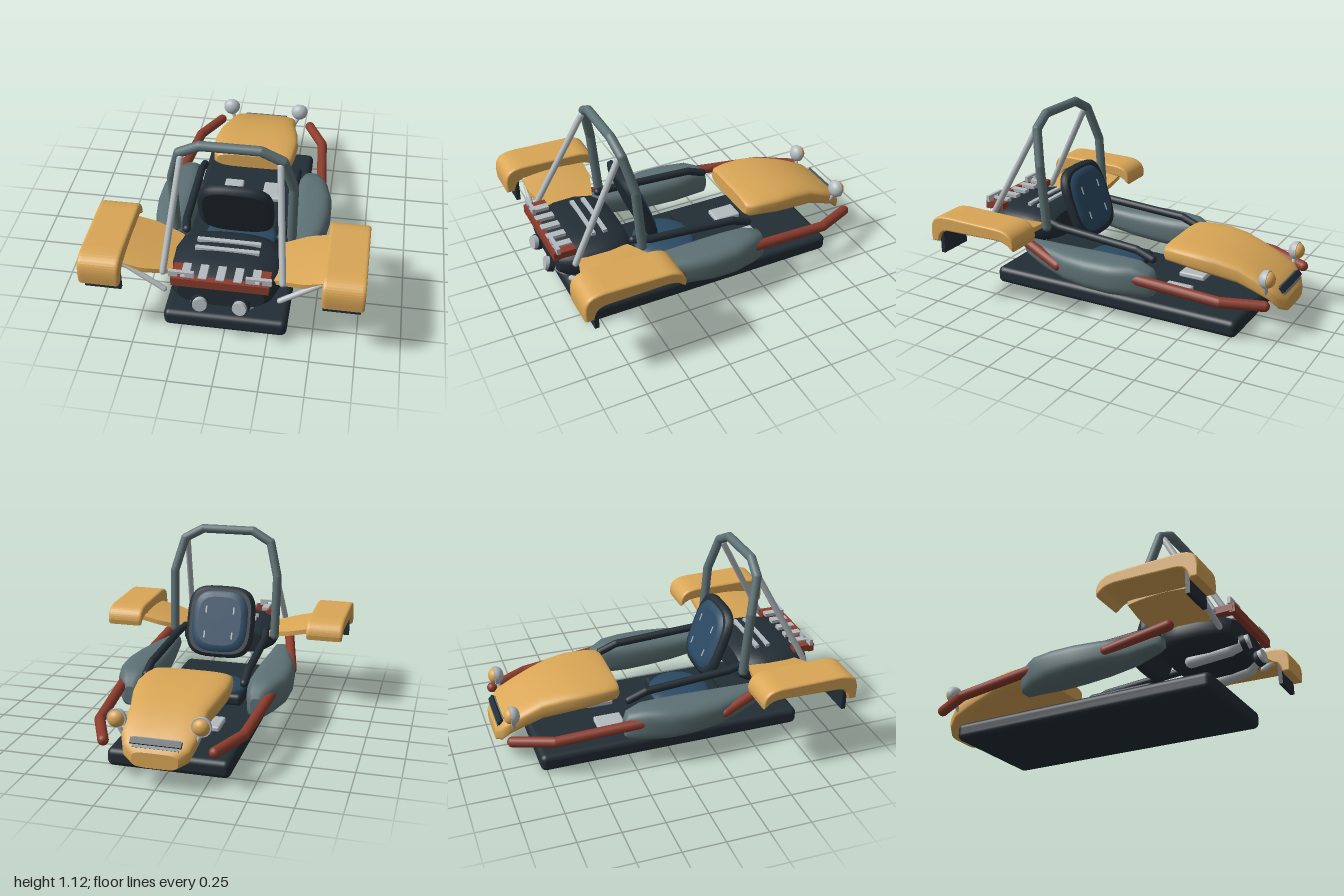
import * as THREE from 'three';
import { RoundedBoxGeometry } from 'three/addons/geometries/RoundedBoxGeometry.js';

const material = (name, color) => {
  const m = new THREE.MeshStandardMaterial({ color });
  m.name = name;
  return m;
};

// Closed skin over superellipse sections [z, xCentre, yCentre, halfWidth, halfHeight], z rising
function loft(sections, power = 4, n = 40) {
  const pos = [], idx = [];
  const ring = ([z, xc, yc, w, h]) => {
    for (let j = 0; j < n; j++) {
      const a = (j / n) * Math.PI * 2, c = Math.cos(a), s = Math.sin(a);
      pos.push(xc + w * Math.sign(c) * Math.abs(c) ** (2 / power),
        yc + h * Math.sign(s) * Math.abs(s) ** (2 / power), z);
    }
  };
  sections.forEach(ring);
  for (let i = 0; i < sections.length - 1; i++) {
    for (let j = 0; j < n; j++) {
      const k = (j + 1) % n, a = i * n + j, b = i * n + k;
      idx.push(a, b, b + n, a, b + n, a + n);
    }
  }
  // end caps with their own vertices, so the rims stay sharp
  [sections[0], sections.at(-1)].forEach((sec, end) => {
    const start = pos.length / 3;
    ring(sec);
    pos.push(sec[1], sec[2], sec[0]);
    for (let j = 0; j < n; j++) {
      const k = (j + 1) % n;
      idx.push(start + n, start + (end ? j : k), start + (end ? k : j));
    }
  });
  const g = new THREE.BufferGeometry();
  g.setAttribute('position', new THREE.Float32BufferAttribute(pos, 3));
  g.setIndex(idx);
  g.computeVertexNormals();
  return g;
}

export function createModel() {
  const model = new THREE.Group();
  model.name = 'buggyBody';
  const gold = material('gold', 0xd9a656), red = material('red', 0x8c3c2d);
  const grey = material('grey', 0x5d7174), silver = material('silver', 0xb4bcc0);
  const dark = material('dark', 0x222d35), blue = material('blue', 0x2b4a63);

  const add = (name, geo, mat, x = 0, y = 0, z = 0, parent = model) => {
    const m = new THREE.Mesh(geo, mat);
    m.name = name;
    m.position.set(x, y, z);
    parent.add(m);
    return m;
  };
  const box = (name, mat, w, h, d, x, y, z, parent) =>
    add(name, new THREE.BoxGeometry(w, h, d), mat, x, y, z, parent);
  const soft = (name, mat, w, h, d, r, x, y, z) =>
    add(name, new RoundedBoxGeometry(w, h, d, 4, r), mat, x, y, z);

  // Straight pipes through the points, with ball joints where they meet
  const pipe = (name, mat, r, points, joints = true) => {
    const g = new THREE.Group();
    g.name = name;
    const v = points.map(p => new THREE.Vector3(...p));
    v.forEach((p, i) => {
      if (joints) add('joint', new THREE.SphereGeometry(r, 16, 10), mat, p.x, p.y, p.z, g);
      if (!i) return;
      const d = p.clone().sub(v[i - 1]);
      const m = add('pipe', new THREE.CylinderGeometry(r, r, d.length(), 16), mat, 0, 0, 0, g);
      m.position.copy(p).add(v[i - 1]).multiplyScalar(0.5);
      m.quaternion.setFromUnitVectors(new THREE.Vector3(0, 1, 0), d.normalize());
    });
    model.add(g);
  };

  // Floor and pedals
  soft('floorSlab', dark, 0.71, 0.105, 1.63, 0.035, 0, 0.0525, 0.03);
  for (const s of [-1, 1]) soft('pedal', silver, 0.125, 0.035, 0.17, 0.012, s * 0.13, 0.118, -0.31);

  // Seat
  soft('seatBase', dark, 0.45, 0.08, 0.42, 0.03, 0, 0.135, 0.24);
  add('seatCushion', new THREE.SphereGeometry(1, 32, 16), blue, 0, 0.168, 0.19).scale.set(0.215, 0.042, 0.19);
  const back = new THREE.Group();
  back.name = 'seatBack';
  back.position.set(0, 0.53, 0.385);
  back.rotation.x = 0.35;
  model.add(back);
  add('backShell', loft([[-0.03, 0, 0, 0.2, 0.21], [-0.015, 0, 0, 0.22, 0.23],
    [0.012, 0, 0, 0.22, 0.23], [0.03, 0, 0, 0.19, 0.2]], 3.6), dark, 0, 0, 0, back);
  add('backPad', loft([[-0.048, 0, 0, 0.14, 0.155], [-0.043, 0, 0, 0.17, 0.185],
    [-0.025, 0, 0, 0.185, 0.2]], 3.2), blue, 0, 0, 0, back);
  for (const x of [-0.09, 0.09]) for (const y of [-0.09, 0.07])
    box('harnessSlot', silver, 0.01, 0.045, 0.006, x, y, -0.049, back);

  // Nose with grille
  add('nose', loft([
    [-1, 0, 0.168, 0.13, 0.043], [-0.97, 0, 0.2, 0.185, 0.055], [-0.92, 0, 0.25, 0.21, 0.055],
    [-0.82, 0, 0.295, 0.22, 0.06], [-0.73, 0, 0.33, 0.225, 0.066], [-0.6, 0, 0.36, 0.255, 0.07],
    [-0.48, 0, 0.375, 0.27, 0.067], [-0.36, 0, 0.382, 0.262, 0.06], [-0.29, 0, 0.38, 0.25, 0.056],
    [-0.27, 0, 0.38, 0.225, 0.045]], 4), gold);
  const grille = new THREE.Group();
  grille.name = 'grille';
  grille.position.set(0, 0.252, -0.965);
  grille.rotation.x = -0.85;
  model.add(grille);
  box('grilleFrame', grey, 0.26, 0.03, 0.06, 0, -0.01, 0, grille);
  box('grilleSlot', dark, 0.285, 0.026, 0.035, 0, 0.006, 0.004, grille);

  // Engine block, cooling strips and rear bar
  add('engineBlock', loft([[0.5, 0, 0.375, 0.24, 0.08], [0.56, 0, 0.38, 0.295, 0.105],
    [0.65, 0, 0.38, 0.32, 0.115], [0.78, 0, 0.38, 0.315, 0.115], [0.89, 0, 0.38, 0.28, 0.1],
    [0.935, 0, 0.38, 0.24, 0.08]], 2.7), dark);
  for (const z of [0.63, 0.7]) box('crossStrip', silver, 0.36, 0.02, 0.025, 0, 0.495, z);
  for (let i = -2; i <= 2; i++) box('coolingStrip', silver, 0.045, 0.02, 0.11, i * 0.096, 0.5, 0.9);
  box('rearBar', red, 0.53, 0.052, 0.035, 0, 0.478, 0.953);

  // Fender side profile in (z, y)
  const fender = new THREE.Shape();
  fender.moveTo(0.975, 0.425);
  fender.bezierCurveTo(0.985, 0.53, 0.97, 0.565, 0.86, 0.565);
  fender.lineTo(0.52, 0.558);
  fender.bezierCurveTo(0.45, 0.555, 0.41, 0.53, 0.412, 0.465);
  fender.bezierCurveTo(0.44, 0.495, 0.46, 0.505, 0.52, 0.508);
  fender.lineTo(0.86, 0.5);
  fender.bezierCurveTo(0.91, 0.495, 0.93, 0.48, 0.945, 0.425);
  fender.closePath();
  const fenderGeo = new THREE.ExtrudeGeometry(fender, { depth: 0.19, bevelSize: 0.012,
    bevelThickness: 0.02, bevelSegments: 4, curveSegments: 14 });
  fenderGeo.translate(0, 0, -0.095).rotateY(-Math.PI / 2);

  for (const s of [-1, 1]) {
    const p = (x, y, z) => [s * x, y, z];

    // Side pod
    add('sidePod', loft([
      [-0.29, s * 0.385, 0.235, 0.035, 0.055], [-0.27, s * 0.387, 0.25, 0.06, 0.085],
      [-0.18, s * 0.4, 0.268, 0.095, 0.1], [-0.05, s * 0.41, 0.267, 0.12, 0.1],
      [0.1, s * 0.412, 0.27, 0.122, 0.096], [0.25, s * 0.405, 0.275, 0.11, 0.087],
      [0.42, s * 0.385, 0.287, 0.075, 0.073], [0.56, s * 0.37, 0.31, 0.05, 0.045],
      [0.59, s * 0.365, 0.31, 0.03, 0.03]], 3), grey);

    // Cockpit rail and side bumpers
    pipe('cockpitRail', dark, 0.024, [p(0.27, 0.45, 0.5), p(0.29, 0.435, 0.4), p(0.3, 0.4, -0.13), p(0.3, 0.36, -0.235)]);
    pipe('frontSideBar', red, 0.031, [p(0.455, 0.29, -0.18), p(0.415, 0.245, -0.71), p(0.31, 0.228, -0.935)]);
    pipe('rearSideBar', red, 0.031, [p(0.485, 0.28, 0.3), p(0.405, 0.385, 0.64)]);

    // Fender, its arm, mudflap and stays
    add('fender', fenderGeo, gold, s * 0.664);
    box('mudflap', dark, 0.205, 0.155, 0.025, s * 0.658, 0.42, 0.92);
    const arm = new THREE.BoxGeometry(0.3, 0.03, 0.4, 8, 1, 10), a = arm.attributes.position;
    for (let i = 0; i < a.count; i++) {
      const t = s * a.getX(i) / 0.3 + 0.5, u = a.getZ(i) / 0.2;
      a.setY(i, a.getY(i) + 0.42 + 0.085 * t - 0.02 * u * u * t);
      a.setZ(i, 0.685 + 0.2 * u * (0.75 + 0.25 * Math.min(1, t * 1.8)));
    }
    arm.computeVertexNormals();
    add('fenderArm', arm, gold, s * 0.425);
    pipe('fenderStay', silver, 0.016, [p(0.555, 0.485, 0.87), p(0.32, 0.35, 0.9)]);

    // Roll hoop brace
    pipe('hoopBrace', silver, 0.019, [p(0.272, 1.01, 0.57), p(0.33, 0.45, 0.87)]);

    // Exhaust
    pipe('exhaustPipe', silver, 0.035, [p(0.165, 0.26, 0.66), p(0.15, 0.285, 0.88), p(0.115, 0.325, 0.94)]);
    pipe('exhaustCollar', dark, 0.047, [p(0.118, 0.32, 0.935), p(0.112, 0.33, 0.965)], false);
    pipe('exhaustTip', silver, 0.04, [p(0.112, 0.33, 0.955), p(0.108, 0.335, 0.985)], false);

    // Headlight: silver bowl with a gold lens facing the nose
    const lamp = new THREE.Group();
    lamp.name = 'headlight';
    lamp.position.set(s * 0.235, 0.355, -0.915);
    lamp.scale.set(0.055, 0.055, 0.045);
    model.add(lamp);
    const half = new THREE.SphereGeometry(1, 24, 12, 0, Math.PI * 2, 0, Math.PI / 2);
    add('bowl', half, silver, 0, 0, 0, lamp).rotation.x = Math.PI / 2;
    const rim = add('rim', new THREE.CylinderGeometry(1, 1, 0.3, 24), silver, 0, 0, -0.1, lamp);
    rim.rotation.x = Math.PI / 2;
    const lens = add('lens', half, gold, 0, 0, -0.2, lamp);
    lens.rotation.x = -Math.PI / 2;
    lens.scale.setScalar(0.86);
    pipe('lampPost', silver, 0.012, [p(0.235, 0.32, -0.91), p(0.2, 0.25, -0.9)]);

    // Rear bar bracket and tail plate frame
    box('barBracket', red, 0.06, 0.04, 0.12, s * 0.238, 0.48, 0.9);
    for (const [w, h, x, y] of [[0.14, 0.012, 0.21, 0.533], [0.05, 0.03, 0.165, 0.515], [0.05, 0.03, 0.255, 0.515]])
      box('tailPlate', silver, w, h, 0.02, s * x, y, 0.945);
  }

  // Roll hoop
  const leg = [[0.335, 0.44, 0.47], [0.34, 0.82, 0.5], [0.283, 1.03, 0.55], [0.165, 1.095, 0.563]];
  pipe('rollHoop', grey, 0.028, [...leg, ...leg.map(([x, y, z]) => [-x, y, z]).reverse()]);
  return model;
}
